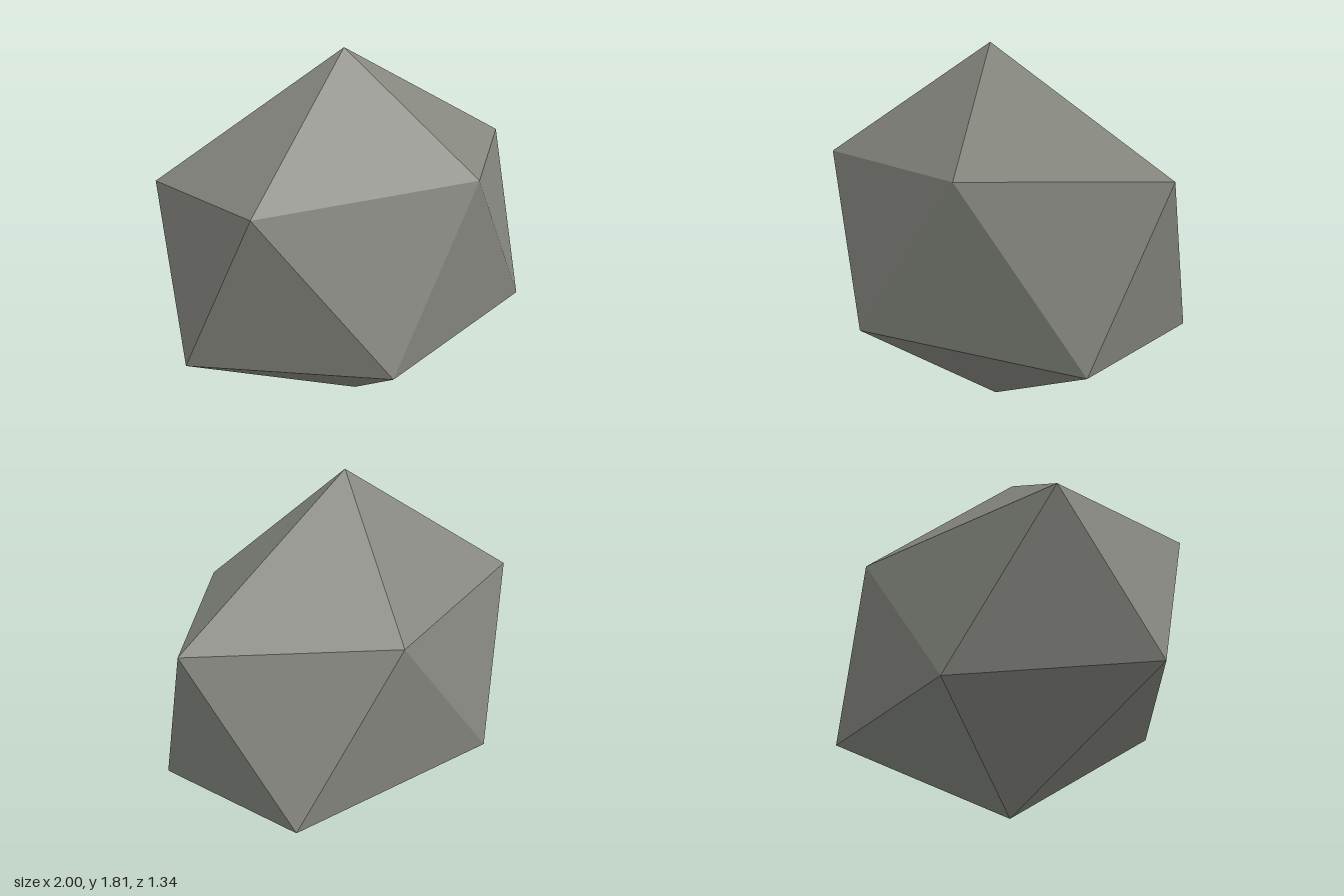
import * as THREE from 'three';

// Low-poly boulder: two uneven five-sided rings, closed by a peak and a base point.
const PEAK = [-0.07, 1.81, 0.01];
const UPPER = [
  [-0.86, 1.24, 0.38], [0.25, 1.24, 0.6], [1, 1.255, 0.03],
  [0.32, 1.235, -0.63], [-0.85, 1.21, -0.44],
];
const LOWER = [
  [-0.33, 0.445, 0.67], [0.83, 0.435, 0.39], [0.81, 0.46, -0.43],
  [-0.38, 0.41, -0.67], [-1, 0.47, 0.01],
];
const BASE = [-0.02, 0, 0.03];

function rockGeometry() {
  const positions = [];
  const face = (...corners) => corners.forEach((p) => positions.push(...p));
  const n = UPPER.length;
  for (let i = 0; i < n; i++) {
    const j = (i + 1) % n;
    face(PEAK, UPPER[i], UPPER[j]); // cap
    face(UPPER[i], LOWER[i], UPPER[j]); // side, pointing down
    face(UPPER[j], LOWER[i], LOWER[j]); // side, pointing up
    face(BASE, LOWER[j], LOWER[i]); // underside
  }
  const geometry = new THREE.BufferGeometry();
  geometry.setAttribute('position', new THREE.Float32BufferAttribute(positions, 3));
  geometry.computeVertexNormals();
  return geometry;
}

export function createModel() {
  const stone = new THREE.MeshStandardMaterial({ color: 0x85877f, flatShading: true });
  stone.name = 'stone grey';

  const rock = new THREE.Mesh(rockGeometry(), stone);
  rock.name = 'rock';

  const group = new THREE.Group();
  group.name = 'boulder';
  group.add(rock);
  return group;
}
